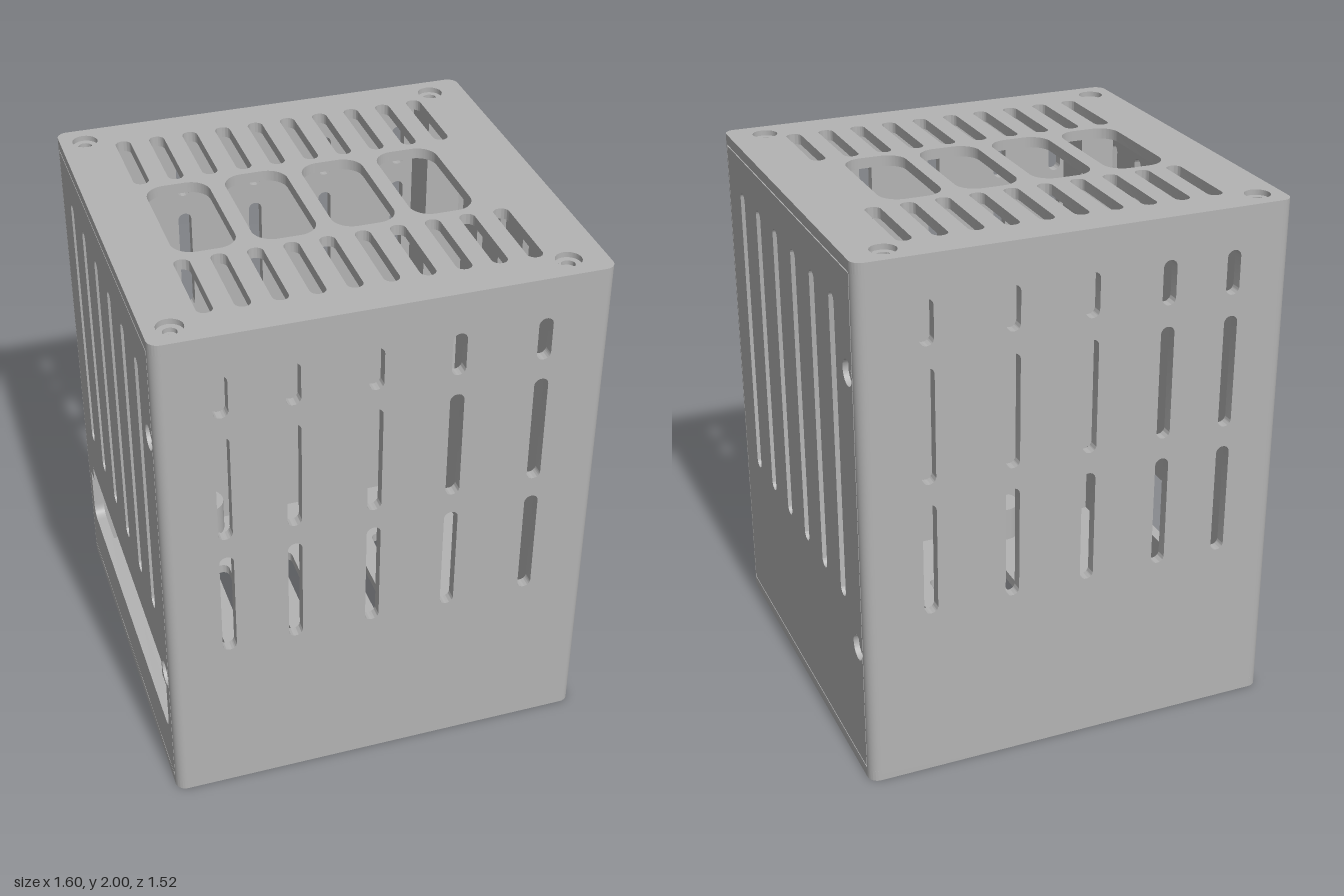
import * as THREE from 'three';
import { toCreasedNormals } from 'three/addons/utils/BufferGeometryUtils.js';

const W = 0.8, D = 0.76, H = 2, T = 0.04; // half width, half depth, height, wall

const grey = new THREE.MeshStandardMaterial({ color: 0xb3b3b3, side: THREE.DoubleSide });
grey.name = 'grey casing';

// Rounded rectangle outline centred on (x, y)
function roundRect(Type, x, y, w, h, r) {
  const p = new Type(), a = w / 2 - r, b = h / 2 - r;
  p.absarc(x + a, y + b, r, 0, Math.PI / 2);
  p.absarc(x - a, y + b, r, Math.PI / 2, Math.PI);
  p.absarc(x - a, y - b, r, Math.PI, Math.PI * 1.5);
  p.absarc(x + a, y - b, r, Math.PI * 1.5, Math.PI * 2);
  p.closePath();
  return p;
}
const slot = (x, y0, y1, w) => roundRect(THREE.Path, x, (y0 + y1) / 2, w, y1 - y0, w / 2 - 0.0005);
const bore = (x, y) => new THREE.Path().absarc(x, y, 0.047, 0, Math.PI * 2);

// Stepped blind screw recess, sunk along -z from z = T
function screwSeat(x, y) {
  const pts = [[0.047, 0], [0.047, -0.02], [0.025, -0.02], [0.025, -0.036], [0, -0.036]];
  const lathe = new THREE.LatheGeometry(pts.map(p => new THREE.Vector2(...p)).reverse(), 24);
  const mesh = new THREE.Mesh(toCreasedNormals(lathe, 0.6), grey);
  mesh.rotation.x = Math.PI / 2;
  mesh.position.set(x, y, T);
  mesh.name = 'screwSeat';
  return mesh;
}

// Flat panel with cut-outs and screw recesses, outer side at z = T
function panel(name, shape, holes, screws) {
  const g = new THREE.Group();
  g.name = name;
  shape.holes.push(...holes, ...screws.map(s => bore(...s)));
  const geo = new THREE.ExtrudeGeometry(shape, { depth: T, bevelEnabled: false, curveSegments: 10 });
  const plate = new THREE.Mesh(toCreasedNormals(geo, 0.6), grey);
  plate.name = name + 'Plate';
  g.add(plate, ...screws.map(s => screwSeat(...s)));
  return g;
}

export function createModel() {
  const model = new THREE.Group();
  model.name = 'ventedEnclosure';
  const add = (geo, name, x, y, z) => {
    const m = new THREE.Mesh(geo, grey);
    m.name = name;
    m.position.set(x, y, z);
    model.add(m);
    return m;
  };

  // Top: two rows of short vents, four large openings, corner screws
  const topHoles = [];
  for (let i = 0; i < 10; i++) {
    const x = -0.577 + i * 0.1275;
    topHoles.push(slot(x, 0.278, 0.625, 0.057), slot(x, -0.62, -0.273, 0.057));
  }
  for (let i = 0; i < 4; i++) {
    topHoles.push(roundRect(THREE.Path, -0.471 + i * 0.2873, 0.002, 0.23, 0.482, 0.075));
  }
  const corners = [];
  for (const x of [-0.708, 0.664]) for (const z of [-0.663, 0.667]) corners.push([x, z]);
  const top = panel('top', roundRect(THREE.Shape, 0, 0, 2 * W, 2 * D, 0.04), topHoles, corners);
  top.rotation.x = -Math.PI / 2;
  top.position.y = H - T;
  model.add(top);

  // Base: seven long vents and four screws
  const baseHoles = [], baseScrews = [];
  for (let i = 0; i < 7; i++) baseHoles.push(slot(-0.46 + i * 0.1415, -0.4, 0.4, 0.057));
  for (const x of [-0.315, 0.265]) for (const z of [-0.67, 0.67]) baseScrews.push([x, z]);
  const base = panel('base', roundRect(THREE.Shape, 0, 0, 2 * W, 2 * D, 0.04), baseHoles, baseScrews);
  base.rotation.x = Math.PI / 2;
  base.position.y = T;
  model.add(base);

  // Standoffs on the floor above the base screws
  for (const [x, z] of baseScrews) {
    add(new THREE.CylinderGeometry(0.08, 0.08, 0.15, 28), 'standoff', x, T + 0.075, z);
  }

  // Front and back walls with three rows of vertical vents
  for (const s of [1, -1]) {
    const shape = new THREE.Shape();
    shape.moveTo(-W + T, T).lineTo(W - T, T).lineTo(W - T, H - T).lineTo(-W + T, H - T).closePath();
    const holes = [];
    for (const x of [-0.577, -0.33, -0.042, 0.248, 0.556]) {
      for (const [a, b] of [[0.66, 1.09], [1.17, 1.6], [1.68, 1.845]]) holes.push(slot(s * x, a, b, 0.052));
    }
    const wall = panel(s > 0 ? 'frontWall' : 'backWall', shape, holes, []);
    wall.rotation.y = s > 0 ? 0 : Math.PI;
    wall.position.z = s * (D - T);
    model.add(wall);
  }

  // Rounded vertical corners and the inner screw pillars
  for (const sx of [1, -1]) for (const sz of [1, -1]) {
    const start = sx > 0 ? (sz > 0 ? 0 : Math.PI / 2) : (sz > 0 ? Math.PI * 1.5 : Math.PI);
    add(new THREE.CylinderGeometry(T, T, H - 2 * T, 10, 1, true, start, Math.PI / 2),
      'corner', sx * (W - T), H / 2, sz * (D - T));
    add(new THREE.BoxGeometry(0.14, 1.51, 0.17), 'screwPillar', sx * 0.69, 1.205, sz * 0.635);
  }

  // Inset side panels with vents and four screws each
  const slotZ = [0.536, 0.327, 0.115, -0.1, -0.313, -0.525];
  const sideScrews = [];
  for (const z of [-0.668, 0.668]) for (const y of [0.525, 1.59]) sideScrews.push([z, y]);
  const sideShape = () => {
    const p = new THREE.Shape(), e = D - T - 0.005;
    p.moveTo(-e, T + 0.005).lineTo(e, T + 0.005).lineTo(e, H - T - 0.005).lineTo(-e, H - T - 0.005).closePath();
    return p;
  };
  const right = panel('rightSidePanel', sideShape(), slotZ.map(z => slot(-z, 0.66, 1.82, 0.055)), sideScrews);
  right.rotation.y = Math.PI / 2;
  right.position.x = W - T;
  model.add(right);

  // Opposite panel also has a wide port opening, notched around the lower screws
  const port = new THREE.Path();
  port.moveTo(-0.62, 0.24).lineTo(0.62, 0.24).quadraticCurveTo(0.67, 0.24, 0.67, 0.29);
  port.lineTo(0.67, 0.465).lineTo(0.61, 0.465).lineTo(0.61, 0.53);
  port.lineTo(-0.61, 0.53).lineTo(-0.61, 0.465).lineTo(-0.67, 0.465);
  port.lineTo(-0.67, 0.29).quadraticCurveTo(-0.67, 0.24, -0.62, 0.24);
  const left = panel('portSidePanel', sideShape(),
    [port, ...slotZ.map(z => slot(z, 0.735, 1.82, 0.055))], sideScrews);
  left.rotation.y = -Math.PI / 2;
  left.position.x = -(W - T);
  model.add(left);

  return model;
}
